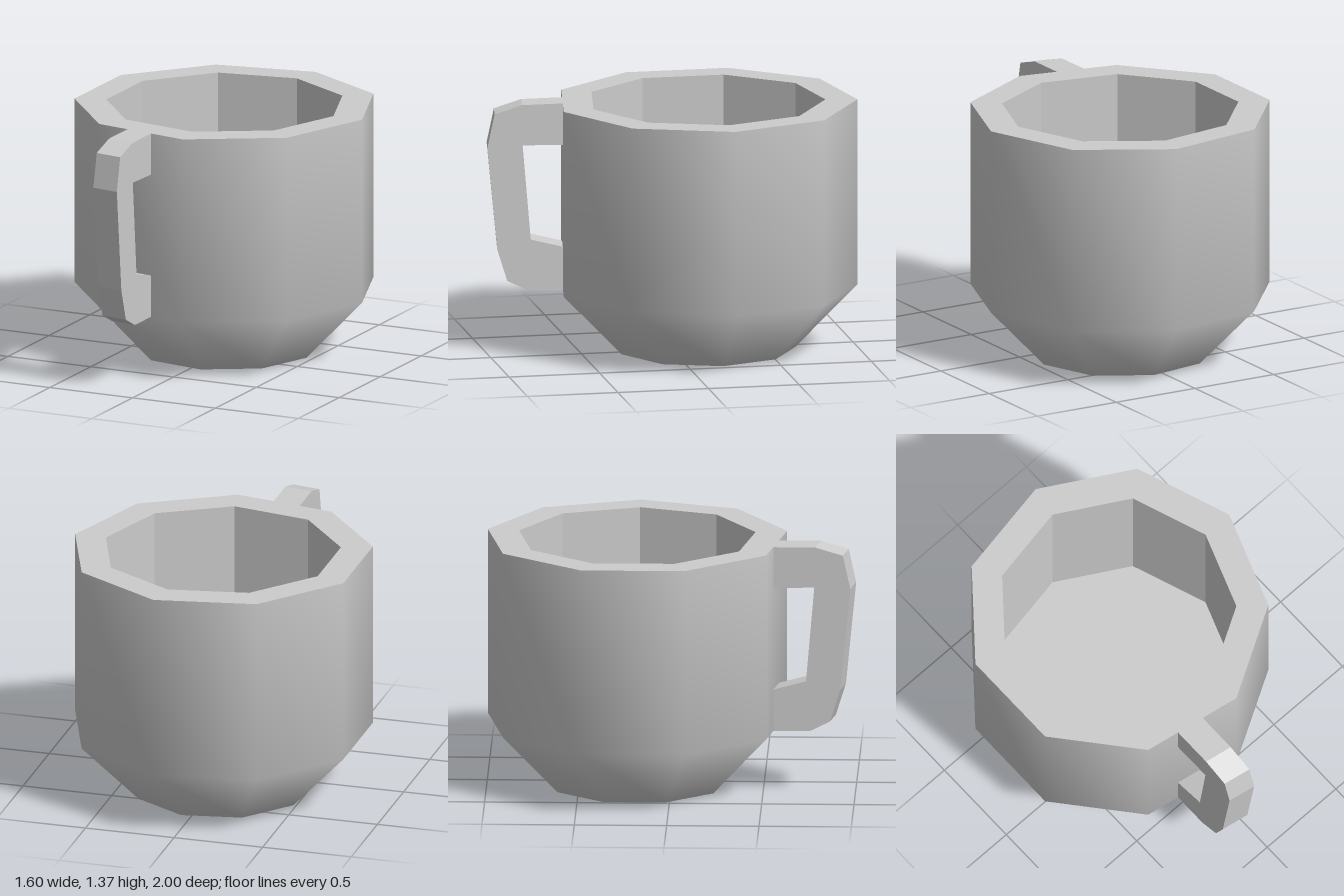
import * as THREE from 'three';

const SIDES = 9;
const HEIGHT = 1.37;
const R_OUTER = 0.823, R_INNER = 0.65, R_BASE = 0.487;
const SHOULDER = 0.345, FLOOR = 0.3;

const smooth = new THREE.MeshStandardMaterial({ color: 0xcccccc });
const flat = new THREE.MeshStandardMaterial({ color: 0xcccccc, flatShading: true });

// Nine-sided turned surface with one corner pointing to +x
function turned(name, profile, material) {
  const points = profile.map(([r, y]) => new THREE.Vector2(r, y));
  const mesh = new THREE.Mesh(new THREE.LatheGeometry(points, SIDES, Math.PI / 2), material);
  mesh.name = name;
  return mesh;
}

function createHandle() {
  // Side outline as (z, y), starting at the top of the wall
  const outline = [
    [0.58, HEIGHT], [0.58, 1.14], [0.805, 1.147], [0.76, 0.623], [0.58, 0.575],
    [0.58, SHOULDER], [0.78, SHOULDER], [0.89, 0.4], [0.945, 0.575],
    [1.0, 1.14], [0.96, 1.325], [0.81, HEIGHT],
  ];
  const shape = new THREE.Shape(outline.map(([z, y]) => new THREE.Vector2(z, y)));
  const geometry = new THREE.ExtrudeGeometry(shape, { depth: 0.155, bevelEnabled: false });
  geometry.rotateY(-Math.PI / 2);

  // Shear so the ends lie parallel to the wall facet
  const pos = geometry.attributes.position;
  for (let i = 0; i < pos.count; i++) {
    pos.setZ(i, pos.getZ(i) + pos.getX(i) * 0.1764);
  }
  geometry.translate(-0.095, 0, 0);
  geometry.computeVertexNormals();

  const mesh = new THREE.Mesh(geometry, flat);
  mesh.name = 'handle';
  return mesh;
}

export function createModel() {
  const group = new THREE.Group();
  group.name = 'mug';

  // Cup: smooth outside, faceted rim and inside, flat base
  const cup = new THREE.Group();
  cup.name = 'cup';
  cup.position.set(-0.026, 0, -0.19);
  cup.add(
    turned('outerWall', [[R_BASE, 0], [R_OUTER, SHOULDER], [R_OUTER, HEIGHT]], smooth),
    turned('rimAndInside', [[R_OUTER, HEIGHT], [R_INNER, HEIGHT], [R_INNER, FLOOR], [0, FLOOR]], flat),
    turned('base', [[0, 0], [R_BASE, 0]], flat),
  );

  group.add(cup, createHandle());
  return group;
}
